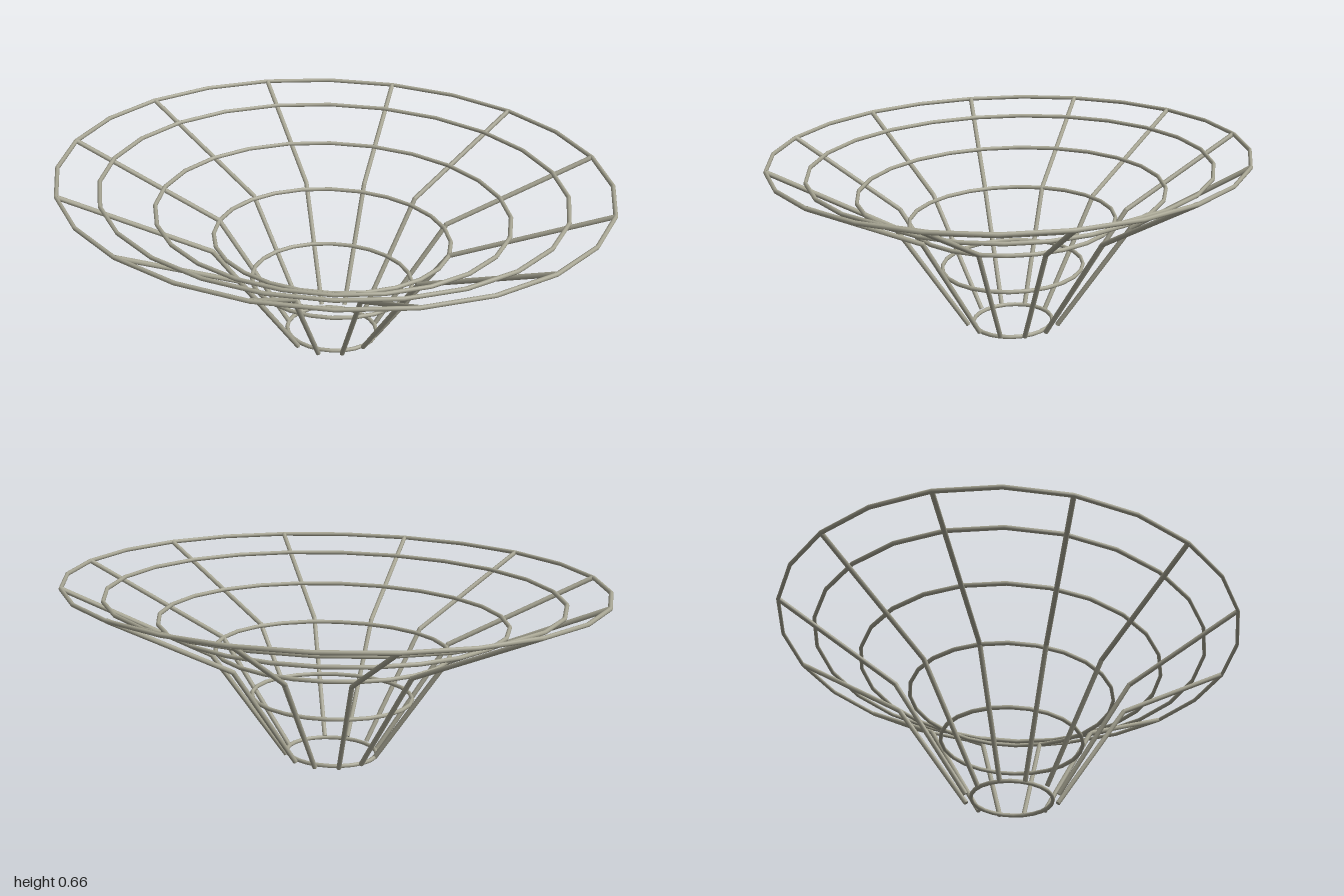
import * as THREE from 'three';

const DEPTH = 0.85; // front-to-back squash of the oval hoops
const RIBS = 12;

export function createModel() {
  const model = new THREE.Group();
  model.name = 'wireBasket';
  const wire = new THREE.MeshStandardMaterial({ color: 0xa8a694 });
  wire.name = 'pale grey wire';

  // Oval hoops: [name, radius, height]
  const hoops = [
    ['rimHoop', 0.992, 0.652],
    ['upperHoop', 0.842, 0.602],
    ['middleHoop', 0.645, 0.513],
    ['kneeHoop', 0.435, 0.404],
    ['lowerHoop', 0.3, 0.227],
    ['baseHoop', 0.17, 0.008],
  ];
  for (const [name, radius, y] of hoops) {
    const geometry = new THREE.TorusGeometry(radius, 0.008, 8, 24);
    geometry.rotateX(Math.PI / 2).scale(1, 1, DEPTH);
    const hoop = new THREE.Mesh(geometry, wire);
    hoop.name = name;
    hoop.position.y = y;
    model.add(hoop);
  }

  // Straight round rod between two points
  function rod(name, a, b) {
    const along = b.clone().sub(a);
    const mesh = new THREE.Mesh(new THREE.CylinderGeometry(0.009, 0.009, along.length(), 8), wire);
    mesh.name = name;
    mesh.position.copy(a).add(b).multiplyScalar(0.5);
    mesh.quaternion.setFromUnitVectors(new THREE.Vector3(0, 1, 0), along.normalize());
    return mesh;
  }

  // Bent ribs: round at the base and knee, oval at the rim
  for (let i = 0; i < RIBS; i++) {
    const angle = (i / RIBS) * Math.PI * 2;
    const at = (r, y, depth) =>
      new THREE.Vector3(Math.cos(angle) * r, y, Math.sin(angle) * r * depth);
    const foot = at(0.17, 0.008, 1);
    const knee = at(0.435, 0.404, 1);
    const rim = at(0.99, 0.652, DEPTH);
    const rib = new THREE.Group();
    rib.name = 'rib';
    rib.add(rod('lowerRib', foot, knee), rod('upperRib', knee, rim));
    // Rounded bend
    const bend = new THREE.Mesh(new THREE.SphereGeometry(0.009, 8, 6), wire);
    bend.name = 'ribBend';
    bend.position.copy(knee);
    rib.add(bend);
    model.add(rib);
  }
  return model;
}
